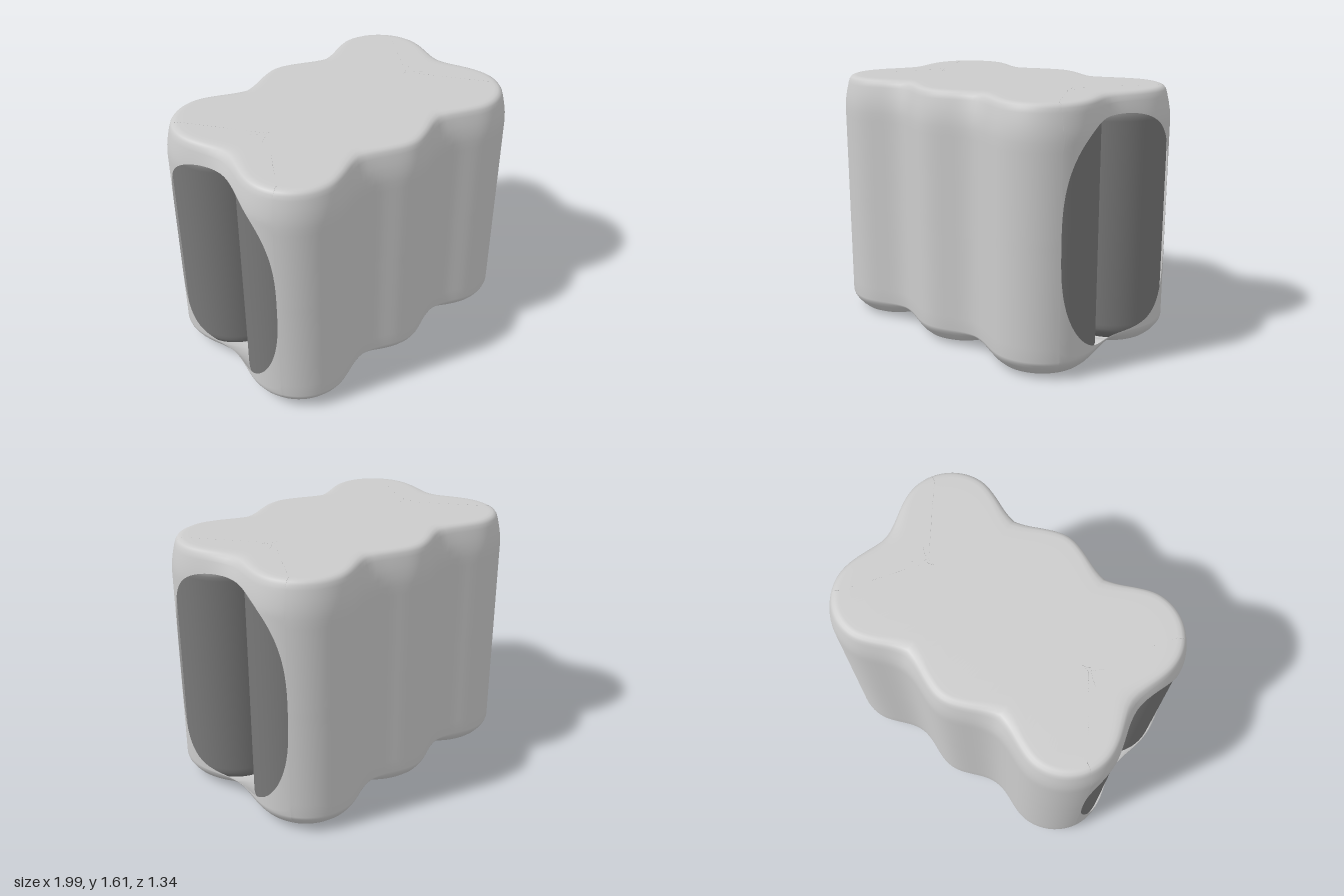
import * as THREE from 'three';

const CX = 0.66, CZ = 0.333, R = 0.337;          // film wraps circles of radius R
const MID = 0.815, HOLE_W = 0.5, HOLE_H = 0.685; // end openings
const { smoothstep, clamp, lerp } = THREE.MathUtils;

// distance to the nearest can axis
const canDist = (x, z) =>
  Math.min(Math.hypot(x, Math.abs(z) - CZ), Math.hypot(Math.abs(x) - CX, Math.abs(z) - CZ));

// scalloped footprint: one quadrant, then mirrored to a closed loop
function makeOutline() {
  const q = [];
  const endX = z => z < CZ
    ? 0.9685 - 0.0285 * Math.cos(Math.PI * z / CZ)
    : CX + Math.sqrt(R * R - (z - CZ) ** 2);
  const n = 24, a0 = Math.asin((HOLE_W - CZ) / R);
  for (let i = 0; i <= n; i++) {
    const z = HOLE_W * (1 - (1 - i / n) ** 2.2);
    q.push([endX(z), z]);
  }
  for (let i = 1; i <= 14; i++) {
    const a = lerp(a0, Math.PI / 2, i / 14);
    q.push([CX + R * Math.cos(a), CZ + R * Math.sin(a)]);
  }
  for (let i = 1; i <= 22; i++) {
    const x = CX * (1 - i / 22);
    q.push([x, 0.625 + 0.045 * Math.cos(2 * Math.PI * x / CX)]);
  }
  const half = [...q, ...q.slice(0, -1).reverse().map(([x, z]) => [-x, z])];
  const pts = [...half, ...half.slice(1, -1).reverse().map(([x, z]) => [x, -z])];
  return pts.map(([x, z], i) => {
    const a = pts[(i + pts.length - 1) % pts.length], b = pts[(i + 1) % pts.length];
    const dx = b[0] - a[0], dz = b[1] - a[1], l = Math.hypot(dx, dz);
    const valley = clamp((canDist(x, z) - R) / 0.08, 0, 1);
    // half height of the opening at this column, zero outside it
    const open = Math.abs(x) > 0.7 && Math.abs(z) < HOLE_W
      ? HOLE_H * Math.max(0, 1 - (Math.abs(z) / HOLE_W) ** 2.9) ** (1 / 2.9) : 0;
    return { x, z, nx: dz / l, nz: -dx / l, valley, open };
  });
}

const bottomHeight = (x, z) => {
  const d = canDist(x, z);
  return 0.008 + 0.012 * (1 - smoothstep(d, 0.05, 0.2))
    + 0.04 * smoothstep(d, 0.2, 0.33) + 0.4 * Math.max(0, d - 0.33);
};

// column of points from the opening edge over the shoulder to the cap middle
function filmColumn(p, top) {
  const col = [];
  const at = inset => {
    const k = inset * (1 + 0.6 * p.valley);
    return [p.x - p.nx * k, p.z - p.nz * k];
  };
  const put = (inset, y) => { const [x, z] = at(inset); col.push([x, y, z]); };
  if (top) {
    for (let i = 0; i <= 14; i++) {
      const y = lerp(MID + p.open, 1.57, i / 14);
      put(0.026 * Math.max(0, (y - 1.42) / 0.15) ** 1.5, y);
    }
    [[0.034, 1.595], [0.045, 1.61], [0.062, 1.618], [0.085, 1.62]].forEach(([i, y]) => put(i, y));
  } else {
    for (let i = 0; i <= 8; i++) put(0, lerp(MID - p.open, 0.125, i / 8));
    const [ex, ez] = at(0.11), h = bottomHeight(ex, ez);
    [[0.006, 0.18], [0.02, 0.38], [0.045, 0.65], [0.075, 0.88], [0.11, 1]]
      .forEach(([i, k]) => put(i, lerp(0.125, h, k)));
  }
  const [ex, , ez] = col[col.length - 1], n = top ? 8 : 28;
  for (let i = 1; i <= n; i++) {
    const x = lerp(ex, ex * 0.65, i / n), z = lerp(ez, 0, i / n);
    col.push([x, top ? 1.62 : bottomHeight(x, z), z]);
  }
  return col;
}

function filmHalf(outline, top) {
  const cols = outline.map(p => filmColumn(p, top));
  const rows = cols[0].length, idx = [];
  for (let j = 0; j < cols.length; j++) {
    const k = (j + 1) % cols.length;
    for (let r = 0; r < rows - 1; r++) {
      const a = j * rows + r, b = k * rows + r;
      if (top) idx.push(a, a + 1, b, b, a + 1, b + 1);
      else idx.push(a, b, a + 1, b, b + 1, a + 1);
    }
  }
  const g = new THREE.BufferGeometry();
  g.setAttribute('position', new THREE.Float32BufferAttribute(cols.flat(2), 3));
  g.setIndex(idx);
  g.computeVertexNormals();
  return g;
}

export function createModel() {
  const model = new THREE.Group();
  model.name = 'sixPack';

  // shrink film, upper and lower halves meeting at mid height
  const filmMat = new THREE.MeshStandardMaterial({ color: 0xcccccc, side: THREE.DoubleSide });
  const outline = makeOutline();
  const film = new THREE.Group();
  film.name = 'shrinkFilm';
  for (const top of [true, false]) {
    const mesh = new THREE.Mesh(filmHalf(outline, top), filmMat);
    mesh.name = top ? 'filmUpper' : 'filmLower';
    film.add(mesh);
  }
  model.add(film);

  // six cans with necked top and tapered foot
  const profile = [
    [0, 0.07], [0.15, 0.06], [0.21, 0.03], [0.235, 0.03], [0.3, 0.075], [0.32, 0.1], [0.328, 0.125],
    [0.328, 0.15], [0.328, 1.44], [0.328, 1.463], [0.318, 1.482], [0.3, 1.505], [0.275, 1.55],
    [0.275, 1.59], [0.262, 1.59], [0.255, 1.56], [0, 1.56],
  ].map(([r, y]) => new THREE.Vector2(r, y));
  const canGeo = new THREE.LatheGeometry(profile, 64);
  const canMat = new THREE.MeshStandardMaterial({ color: 0x777777 });
  for (const x of [-0.657, 0, 0.657]) for (const z of [-0.329, 0.329]) {
    const can = new THREE.Mesh(canGeo, canMat);
    can.name = 'can';
    can.position.set(x, 0, z);
    model.add(can);
  }
  return model;
}
